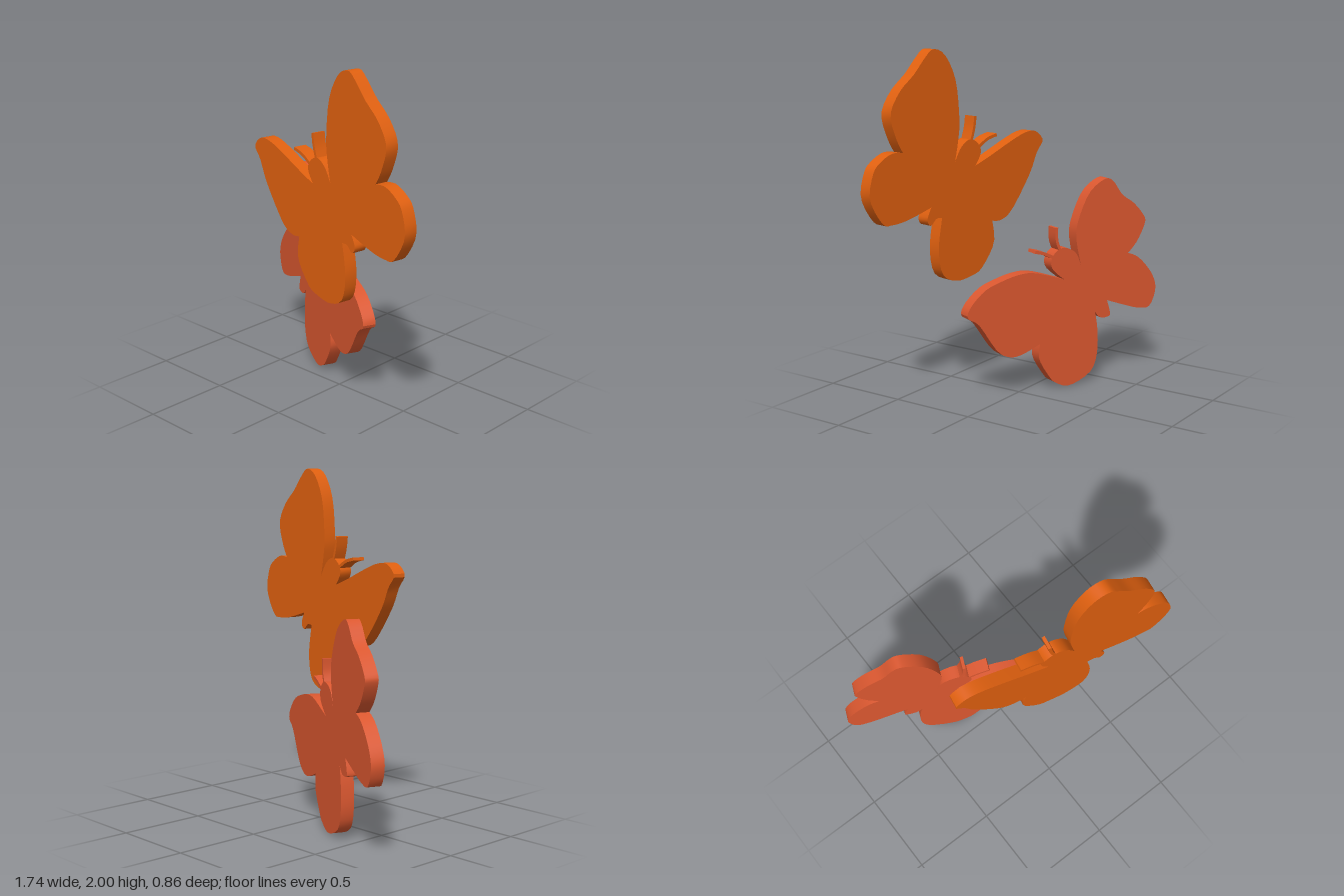
import * as THREE from 'three';
import { toCreasedNormals } from 'three/addons/utils/BufferGeometryUtils.js';

const THICKNESS = 0.075;

// Profiles are x, y pairs in hundredths on the front plane. Going round the
// butterfly, each part starts on the body and ends where the next one starts.
const upper = {
  raisedWing: [62, 145.8, 66.5, 154, 70, 167, 63.5, 178.5, 53.5, 187, 46, 195, 39.5, 199.8, 31, 196, 23.5, 182, 21, 160.5, 22, 149],
  head: [24.6, 136.8, 19.8, 144.5, 13.2, 148.4, 7, 145.5, 4.7, 140],
  spreadWing: [9, 133, -2, 137, -18, 143.5, -31, 147.9, -40, 147.9, -46, 142, -41, 135, -34.7, 122.5, -20, 103.5, -11, 98.7],
  lowerWing: [-4, 99.2, -5.2, 86, 4.5, 72.8, 12.5, 69.6, 24, 68.6, 34.5, 74, 37.5, 89],
  tail: [34.7, 106.6, 39, 106.6, 43, 103.3, 45.5, 107],
  sideWing: [42.6, 113.5, 59, 109, 70, 107.8, 77, 109.5, 85, 123.5, 82.5, 137, 77.5, 142.5, 69.5, 146.3],
};
const upperAntennae = [
  [12.2, 147, 9.9, 154, 8.8, 161],
  [6, 143.5, -0.5, 147.2, -7.9, 148.9],
];

const lower = {
  raisedWing: [-67.5, 75.5, -73.5, 82, -78.5, 92, -78, 97, -71, 105.5, -63, 111.5, -57, 120, -51.5, 122, -41.5, 115, -34.5, 100, -33, 89],
  head: [-36.2, 72.2, -33, 80, -27, 83.8, -21.8, 83.5, -17.6, 79, -18, 72.5],
  spreadWing: [-25.5, 65.3, -8, 71.5, 2, 72.2, 12.5, 70, 23, 66, 31.5, 58, 33.5, 51.5, 27, 46.5, 16.5, 30, 9, 24.6, 1, 24.6],
  lowerWing: [-10.3, 29, -9.8, 20, -16, 8.5, -20.5, 3.5, -29.5, 0.2, -43, 6, -47.5, 17, -47.5, 32],
  tail: [-45.8, 42.5, -49.5, 38.5, -55, 38.5, -55.8, 41],
  sideWing: [-53.7, 48.5, -65, 44, -75, 40.5, -83, 40.5, -87, 50.5, -85, 59, -79.5, 67, -73.5, 72.8],
};
const lowerAntennae = [
  [-23, 82.5, -20.7, 89, -20.6, 96.5],
  [-19, 79, -13, 82.2, -7.2, 83.9],
];

// Butterfly cut from a flat board, turned about the vertical through its front-left edge at (x0, z0)
function butterfly(name, profiles, antennae, material, x0, z0, turn) {
  const group = new THREE.Group();
  group.name = name;
  group.position.set(x0, 0, z0);
  group.rotation.y = -turn;

  // Front-plane pairs to points on the turned board
  const toPoints = (pairs) => {
    const points = [];
    for (let i = 0; i < pairs.length; i += 2) {
      points.push(new THREE.Vector2((pairs[i] / 100 - x0) / Math.cos(turn), pairs[i + 1] / 100));
    }
    return points;
  };
  const addPlate = (partName, points) => {
    const plate = new THREE.ExtrudeGeometry(new THREE.Shape(points), { depth: THICKNESS, bevelEnabled: false });
    plate.translate(0, 0, -THICKNESS);
    const mesh = new THREE.Mesh(toCreasedNormals(plate, 0.5), material);
    mesh.name = partName;
    group.add(mesh);
  };

  // Wings, head and tail: a smooth edge closed by a straight seam against the body
  const names = Object.keys(profiles);
  const runs = names.map((part) => toPoints(profiles[part]));
  const seams = runs.map((run) => run[0]);
  runs.forEach((run, i) => {
    const edge = [...run, seams[(i + 1) % seams.length]];
    addPlate(names[i], new THREE.SplineCurve(edge).getPoints(edge.length * 3));
  });
  addPlate('body', seams);

  // Antennae: narrow curved strips
  antennae.forEach((path, i) => {
    const curve = new THREE.SplineCurve(toPoints(path));
    const side = (offset) => [0, 0.2, 0.4, 0.6, 0.8, 1].map((t) => {
      const along = curve.getTangent(t);
      return curve.getPoint(t).add(new THREE.Vector2(-along.y, along.x).multiplyScalar(offset));
    });
    addPlate(`antenna${i + 1}`, [...side(0.009), ...side(-0.009).reverse()]);
  });
  return group;
}

export function createModel() {
  const orange = new THREE.MeshStandardMaterial({ color: 0xe0600f });
  orange.name = 'orange';
  const coral = new THREE.MeshStandardMaterial({ color: 0xdc5830 });
  coral.name = 'coral red';

  const model = new THREE.Group();
  model.name = 'butterflies';
  model.add(
    butterfly('upperButterfly', upper, upperAntennae, orange, -0.46, 0.21, 0.166),
    butterfly('lowerButterfly', lower, lowerAntennae, coral, -0.87, -0.365, 0.413),
  );
  return model;
}
